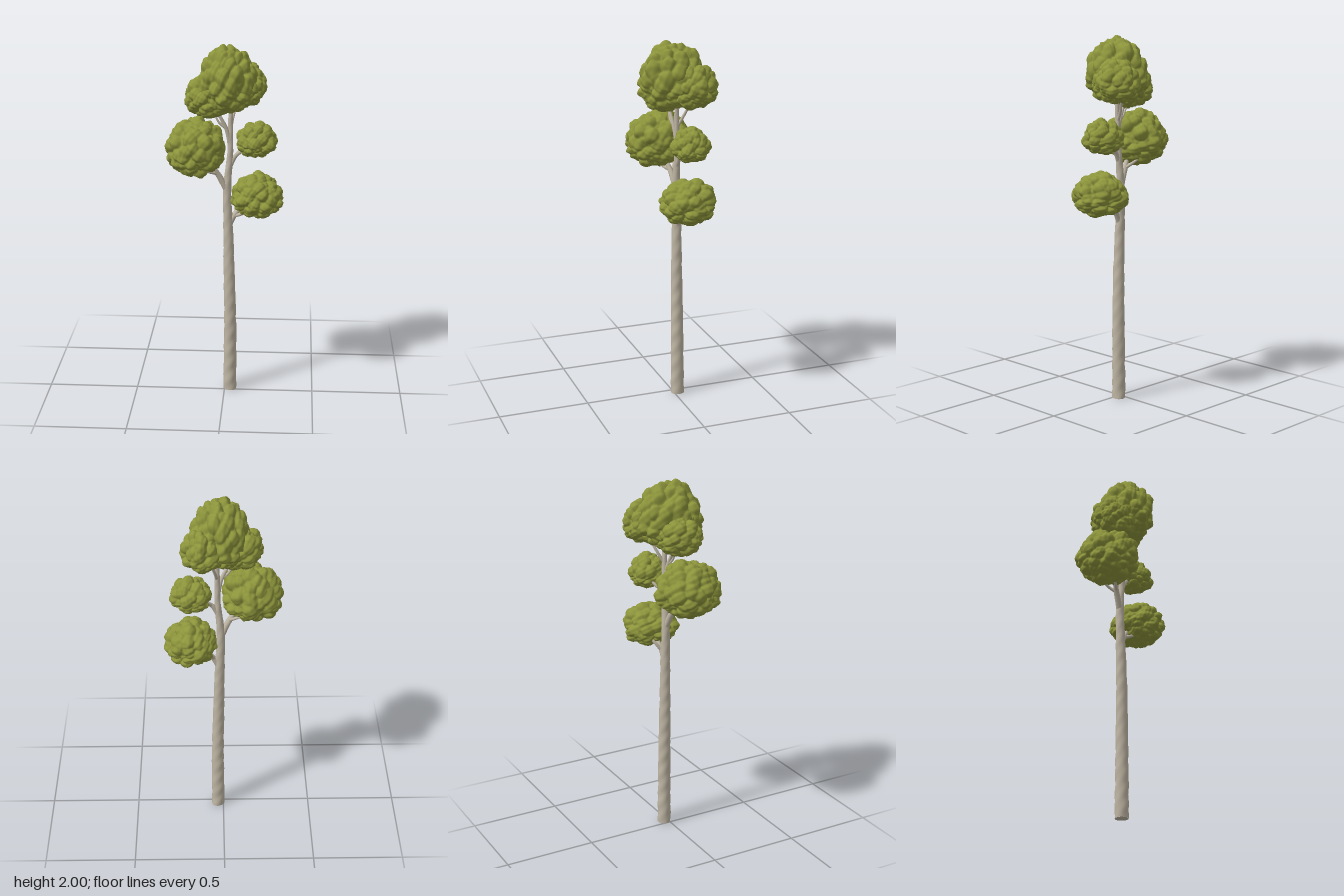
import * as THREE from 'three';
import { mergeVertices } from 'three/addons/utils/BufferGeometryUtils.js';

const bark = new THREE.MeshStandardMaterial({ color: 0xbeb5a3 });
bark.name = 'bark';
const leaf = new THREE.MeshStandardMaterial({ color: 0x8c943b });
leaf.name = 'leafGreen';

// Small seeded random generator
function seeded(seed) {
  let s = seed;
  return () => {
    s = (s * 16807) % 2147483647;
    return s / 2147483647;
  };
}

// Share vertices so the surface shades smoothly
function smooth(geometry) {
  geometry.deleteAttribute('uv');
  geometry.deleteAttribute('normal');
  const merged = mergeVertices(geometry, 1e-5);
  merged.computeVertexNormals();
  return merged;
}

// Tapered, slightly knobbly limb through points of [x, y, z, radius]
function limb(name, points, segments, sides, knobs) {
  const curve = new THREE.CatmullRomCurve3(points.map(p => new THREE.Vector3(p[0], p[1], p[2])));
  const geometry = new THREE.TubeGeometry(curve, segments, 1, sides);
  const pos = geometry.attributes.position;
  const v = new THREE.Vector3();
  for (let i = 0; i <= segments; i++) {
    const u = i / segments;
    const centre = curve.getPointAt(u);
    const t = curve.getUtoTmapping(u) * (points.length - 1);
    const k = Math.min(Math.floor(t), points.length - 2);
    const radius = THREE.MathUtils.lerp(points[k][3], points[k + 1][3], t - k);
    for (let j = 0; j <= sides; j++) {
      const n = i * (sides + 1) + j;
      const a = (j % sides) / sides * Math.PI * 2;
      const knob = Math.sin(a * 2 + centre.y * 17) * Math.sin(centre.y * 53 + a)
        + 0.6 * Math.sin(a - centre.y * 37) * Math.sin(centre.y * 29 + a * 2);
      v.fromBufferAttribute(pos, n).sub(centre).multiplyScalar(radius * (1 + knobs * knob)).add(centre);
      pos.setXYZ(n, v.x, v.y, v.z);
    }
  }
  const mesh = new THREE.Mesh(smooth(geometry), bark);
  mesh.name = name;
  return mesh;
}

// Leaf clump: the outline of many small balls spread over a ball,
// flattened underneath and fitted to a box
function clump(name, min, max, balls, under, seed) {
  const random = seeded(seed);
  const centres = [];
  for (let i = 0; i < balls; i++) {
    const y = 1 - 2 * (i + 0.5) / balls;
    const a = i * 2.39996 + random() * 0.6;
    const r = Math.sqrt(1 - y * y);
    const c = new THREE.Vector3(Math.cos(a) * r, y, Math.sin(a) * r);
    c.multiplyScalar(0.7 + 0.12 * random());
    centres.push({ c, size: (1.9 + 0.7 * random()) / Math.sqrt(balls) });
  }
  const geometry = smooth(new THREE.IcosahedronGeometry(1, 30));
  const pos = geometry.attributes.position;
  const d = new THREE.Vector3();
  for (let i = 0; i < pos.count; i++) {
    d.fromBufferAttribute(pos, i).normalize();
    let reach = 0.82;
    for (const { c, size } of centres) {
      const along = d.dot(c);
      const h = size * size - c.lengthSq() + along * along;
      if (along > 0 && h > 0) reach = Math.max(reach, along + Math.sqrt(h));
    }
    // Leafy wrinkles
    reach += 0.018 * Math.sin(d.x * 17 + d.y * 9 + seed) * Math.sin(d.y * 19 - d.z * 8)
      + 0.014 * Math.sin(d.z * 27 + d.x * 11) * Math.sin(d.x * 23 - d.y * 14 + seed);
    d.multiplyScalar(reach);
    pos.setXYZ(i, d.x, d.y < 0 ? d.y * under : d.y, d.z);
  }
  // Fit to the wanted box
  geometry.computeBoundingBox();
  const box = geometry.boundingBox;
  const lo = new THREE.Vector3(...min);
  const size = new THREE.Vector3(...max).sub(lo);
  const scale = size.clone().divide(box.getSize(new THREE.Vector3()));
  geometry.translate(-box.min.x, -box.min.y, -box.min.z);
  geometry.scale(scale.x, scale.y, scale.z);
  geometry.translate(lo.x, lo.y, lo.z);
  geometry.computeVertexNormals();
  const mesh = new THREE.Mesh(geometry, leaf);
  mesh.name = name;
  return mesh;
}

export function createModel() {
  const tree = new THREE.Group();
  tree.name = 'tree';

  // Trunk and its flat foot
  tree.add(limb('trunk', [
    [0.03, 0, -0.022, 0.037], [0.031, 0.4, -0.02, 0.034], [0.025, 0.75, -0.018, 0.03],
    [0.019, 1.0, -0.02, 0.026], [0.014, 1.2, -0.02, 0.022], [0.03, 1.4, -0.018, 0.016],
    [0.033, 1.6, -0.015, 0.013], [0.045, 1.78, -0.01, 0.008],
  ], 150, 18, 0.05));
  const foot = new THREE.Mesh(new THREE.CircleGeometry(0.036, 18).rotateX(Math.PI / 2), bark);
  foot.position.set(0.03, 0, -0.022);
  foot.name = 'trunkFoot';
  tree.add(foot);

  // Branches, each with forking twigs
  const branches = {
    lowerLeftBranch: [[0.02, 0.98, -0.02, 0.018], [0.05, 1.04, -0.024, 0.015], [0.09, 1.09, -0.03, 0.011], [0.17, 1.15, -0.03, 0.006]],
    lowerLeftTwig: [[0.05, 1.04, -0.024, 0.01], [0.1, 1.062, -0.005, 0.008], [0.16, 1.1, 0.02, 0.005]],
    lowerLeftBackTwig: [[0.05, 1.04, -0.024, 0.01], [0.07, 1.09, -0.06, 0.008], [0.12, 1.14, -0.1, 0.005]],
    rightBranch: [[0.012, 1.19, -0.02, 0.018], [-0.027, 1.27, -0.008, 0.016], [-0.07, 1.335, 0.01, 0.012], [-0.15, 1.43, 0.03, 0.006]],
    rightTwig: [[-0.04, 1.29, 0, 0.01], [-0.09, 1.31, 0.03, 0.008], [-0.14, 1.35, 0.06, 0.005]],
    rightBackTwig: [[-0.03, 1.28, -0.005, 0.01], [-0.065, 1.31, -0.035, 0.008], [-0.12, 1.35, -0.06, 0.005]],
    upperLeftBranch: [[0.025, 1.32, -0.018, 0.014], [0.06, 1.385, -0.024, 0.012], [0.11, 1.42, -0.036, 0.01], [0.18, 1.47, -0.05, 0.006]],
    upperLeftTwig: [[0.06, 1.385, -0.024, 0.009], [0.1, 1.43, -0.06, 0.007], [0.15, 1.48, -0.09, 0.004]],
    topRightBranch: [[0.03, 1.44, -0.018, 0.013], [0.012, 1.53, -0.008, 0.011], [-0.02, 1.6, 0.0, 0.009], [-0.08, 1.7, 0.01, 0.006]],
    topRightTwig: [[0.008, 1.54, -0.006, 0.008], [-0.03, 1.575, 0.0, 0.006], [-0.06, 1.64, 0.0, 0.004]],
    topBackTwig: [[0.033, 1.54, -0.016, 0.009], [0.045, 1.6, -0.05, 0.008], [0.08, 1.7, -0.09, 0.005]],
  };
  for (const [name, points] of Object.entries(branches)) tree.add(limb(name, points, 16, 10, 0.03));

  // Foliage
  tree.add(
    clump('topFoliage', [-0.145, 1.63, -0.19], [0.18, 2.0, 0.19], 110, 0.6, 11),
    clump('topBackFoliage', [-0.01, 1.64, -0.213], [0.225, 1.885, 0.06], 75, 0.75, 61),
    clump('topSideFoliage', [-0.21, 1.6, -0.12], [0.065, 1.85, 0.13], 75, 0.8, 29),
    clump('rightFoliage', [-0.32, 1.285, -0.165], [0.008, 1.605, 0.205], 100, 0.75, 47),
    clump('upperLeftFoliage', [0.06, 1.375, -0.15], [0.285, 1.575, 0.07], 55, 0.65, 83),
    clump('lowerLeftFoliage', [0.03, 1.04, -0.185], [0.32, 1.29, 0.13], 85, 0.8, 131),
  );
  return tree;
}
